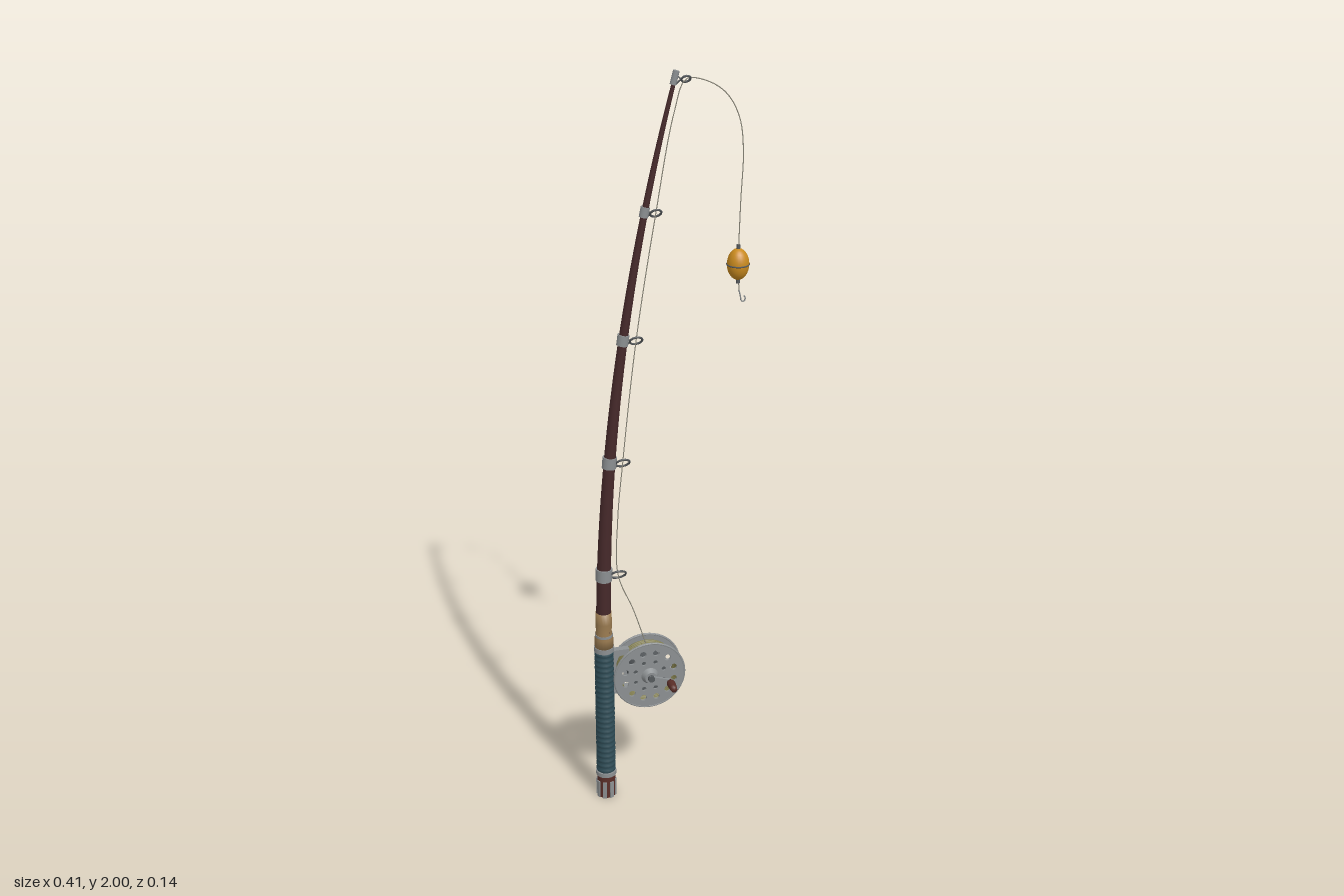
import * as THREE from 'three';

const mat = (name, color) => Object.assign(new THREE.MeshStandardMaterial({ color }), { name });

export function createModel() {
  const root = new THREE.Group();
  root.name = 'fishingRod';
  const wood = mat('dark wood', 0x46292a);
  const knobWood = mat('red wood', 0x5a2e28);
  const metal = mat('metal', 0x8c9092);
  const darkMetal = mat('dark metal', 0x55595c);
  const wrap = mat('teal wrap', 0x2f4d57);
  const cork = mat('cork', 0x98794f);
  const spoolLine = mat('olive line', 0x7f7b4b);
  const lineMat = mat('pale line', 0x8d8a7c);
  const orange = mat('orange float', 0xc98a1e);
  wrap.side = spoolLine.side = THREE.DoubleSide;

  const V = (x, y, z) => new THREE.Vector3(x, y, z);
  const RX = -0.18, RZ = -0.035;
  const add = (name, geo, material, pos = [0, 0, 0], parent = root) => {
    const m = new THREE.Mesh(geo, material);
    m.name = name;
    m.position.set(...pos);
    parent.add(m);
    return m;
  };
  const lathe = (pts, seg = 20) => new THREE.LatheGeometry(pts.map(p => new THREE.Vector2(...p)), seg);
  const cyl = (r1, r2, h, seg = 20) => new THREE.CylinderGeometry(r1, r2, h, seg);
  const tube = (pts, r, n = 24, seg = 6) =>
    new THREE.TubeGeometry(new THREE.CatmullRomCurve3(pts.map(p => V(...p))), n, r, seg);
  // Cylinder standing along z
  const disc = (name, r1, r2, z0, z1, material, x, y, parent = root) => {
    const m = add(name, cyl(r1, r2, z1 - z0), material, [x, y, (z0 + z1) / 2], parent);
    m.rotation.x = Math.PI / 2;
    return m;
  };

  // Rod blank: a tapered tube bending forward
  const rodX = y => RX + 0.2 * Math.max(0, (y - 0.5) / 1.5) ** 2;
  const rodR = y => 0.021 - 0.0162 * (y - 0.5) / 1.5;
  const path = new THREE.CatmullRomCurve3(
    Array.from({ length: 13 }, (_, i) => 0.46 + i * 1.536 / 12).map(y => V(rodX(y), y, RZ)));
  const SEG = 48, RAD = 12;
  const blank = new THREE.TubeGeometry(path, SEG, 1, RAD);
  const bp = blank.attributes.position, v = V(0, 0, 0);
  for (let i = 0; i < bp.count; i++) {
    const c = path.getPointAt(Math.floor(i / (RAD + 1)) / SEG);
    v.fromBufferAttribute(bp, i).sub(c).multiplyScalar(rodR(c.y)).add(c);
    bp.setXYZ(i, v.x, v.y, v.z);
  }
  add('rodBlank', blank, wood);

  // Butt cap with metal flutes
  add('buttCap', cyl(0.025, 0.025, 0.07), knobWood, [RX, 0.035, RZ]);
  for (let i = 0; i < 8; i++) {
    const a = (i + 0.5) * Math.PI / 4;
    const bar = add('buttFlute', new THREE.BoxGeometry(0.011, 0.05, 0.006), metal,
      [RX + 0.0245 * Math.sin(a), 0.025, RZ + 0.0245 * Math.cos(a)]);
    bar.rotation.y = a;
  }
  add('buttPlate', cyl(0.018, 0.018, 0.004), metal, [RX, 0.002, RZ]);
  for (const [y, r, h] of [[0.073, 0.028, 0.012], [0.462, 0.027, 0.014], [0.502, 0.024, 0.01]])
    add('collar', cyl(r, r, h), metal, [RX, y, RZ]);

  // Ridged wrapped grip
  const ridges = [];
  for (let i = 0; i < 24; i++) {
    const y = 0.078 + i * 0.0158;
    ridges.push([0.0225, y], [0.0262, y + 0.004], [0.0262, y + 0.011]);
  }
  ridges.push([0.0225, 0.457]);
  add('grip', lathe(ridges), wrap, [RX, 0, RZ]);

  // Cork fore grip
  add('foreGrip', lathe([[0, 0.465], [0.025, 0.465], [0.025, 0.495], [0.021, 0.515],
    [0.022, 0.54], [0.0215, 0.572], [0, 0.573]]), cork, [RX, 0, RZ]);

  // Line guides: band, tilted ring and two struts
  const ringNormal = V(0, 0.64, -0.77);
  const guide = (y, x, r, bandH) => {
    const g = new THREE.Group();
    g.name = 'lineGuide';
    root.add(g);
    const rx = rodX(y), rr = rodR(y), t = V(0.4 * (y - 0.5) / 2.25, 1, 0).normalize();
    const up = V(0, 1, 0);
    const band = add('guideBand', cyl(rr + 0.003, rr + 0.003, bandH, 14), metal, [rx, y + 0.004, RZ], g);
    band.quaternion.setFromUnitVectors(up, t);
    const ring = add('guideRing', new THREE.TorusGeometry(r, 0.0028, 6, 24), darkMetal, [x, y, RZ + 0.004], g);
    ring.quaternion.setFromUnitVectors(V(0, 0, 1), ringNormal);
    for (const s of [-1, 1])
      add('guideStrut', tube([[rx + rr * 0.8, y + s * bandH * 0.35, RZ], [(rx + rr + x - r) / 2, y + s * 0.004, RZ + 0.002],
        [x - r, y, RZ + 0.004]], 0.002, 6, 5), darkMetal, [0, 0, 0], g);
  };
  guide(0.68, -0.14, 0.021, 0.034);
  guide(1.0, -0.124, 0.018, 0.03);
  guide(1.33, -0.086, 0.016, 0.028);
  guide(1.655, -0.034, 0.014, 0.026);
  guide(1.978, 0.041, 0.011, 0.034);

  // Reel: two pierced plates
  const reel = new THREE.Group();
  reel.name = 'reel';
  root.add(reel);
  const CX = -0.064, CY = 0.38;
  const plate = new THREE.Shape().absarc(0, 0, 0.098, 0, Math.PI * 2, false);
  for (const [n, rad, r] of [[12, 0.069, 0.0088], [8, 0.042, 0.006]])
    for (let i = 0; i < n; i++) {
      const a = (i + 0.5) / n * Math.PI * 2;
      plate.holes.push(new THREE.Path().absarc(rad * Math.cos(a), rad * Math.sin(a), r, 0, Math.PI * 2, true));
    }
  const plateGeo = new THREE.ExtrudeGeometry(plate, { depth: 0.006, bevelEnabled: false, curveSegments: 20 });
  for (const z of [-0.003, -0.057]) {
    add('reelPlate', plateGeo, metal, [CX, CY, z], reel);
    add('reelRim', new THREE.TorusGeometry(0.096, 0.0035, 6, 48), metal, [CX, CY, z + 0.003], reel);
  }
  // Spool with wound line
  disc('spoolDrum', 0.052, 0.052, -0.053, -0.002, darkMetal, CX, CY, reel);
  const shell = add('woundLineCore', new THREE.CylinderGeometry(0.079, 0.079, 0.048, 40, 1, true), spoolLine, [CX, CY, -0.027], reel);
  shell.rotation.x = Math.PI / 2;
  for (let i = 0; i < 7; i++)
    add('lineCoil', new THREE.TorusGeometry(0.079, 0.0035, 6, 40), spoolLine, [CX, CY, -0.048 + i * 0.007], reel);

  // Hubs, back screws and crank
  disc('frontHub', 0.016, 0.024, 0.002, 0.016, metal, CX, CY, reel);
  disc('frontNut', 0.009, 0.009, 0.014, 0.025, darkMetal, CX, CY, reel);
  disc('backHub', 0.02, 0.02, -0.064, -0.056, metal, CX, CY, reel);
  disc('backNut', 0.011, 0.011, -0.068, -0.062, darkMetal, CX, CY, reel);
  for (let i = 0; i < 4; i++) {
    const a = i * Math.PI / 2;
    disc('backScrew', 0.005, 0.005, -0.061, -0.056, darkMetal, CX + 0.029 * Math.cos(a), CY + 0.029 * Math.sin(a), reel);
  }
  const KX = -0.013, KY = 0.364;
  const arm = add('crankArm', new THREE.BoxGeometry(0.066, 0.014, 0.008), metal,
    [(CX + KX) / 2, (CY + KY) / 2, 0.02], reel);
  arm.rotation.z = Math.atan2(KY - CY, KX - CX);
  disc('crankPin', 0.006, 0.006, 0.016, 0.03, metal, KX, KY, reel);
  const knob = add('crankKnob', lathe([[0, 0.024], [0.009, 0.024], [0.0115, 0.034], [0.01, 0.055], [0.008, 0.066], [0, 0.067]], 14),
    knobWood, [KX, KY, 0], reel);
  knob.rotation.x = Math.PI / 2;

  // Reel foot joining the grip
  add('reelSeat', new THREE.BoxGeometry(0.008, 0.13, 0.022), metal, [-0.153, 0.39, RZ], reel);
  for (const y of [0.33, 0.445])
    add('reelFoot', new THREE.BoxGeometry(0.044, 0.018, 0.018), metal, [-0.135, y, RZ], reel);

  // Line from spool, through the guides and over the tip
  const LZ = -0.031;
  add('runningLine', tube([[-0.066, 0.46, -0.027], [-0.1, 0.57, -0.028], [-0.14, 0.68, LZ], [-0.139, 0.84, LZ], [-0.124, 1, LZ],
    [-0.086, 1.33, LZ], [-0.034, 1.655, LZ], [0.012, 1.9, LZ], [0.041, 1.978, LZ], [0.09, 1.972, LZ], [0.14, 1.94, -0.03],
    [0.174, 1.88, -0.03], [0.185, 1.8, -0.029], [0.18, 1.67, -0.028], [0.176, 1.54, -0.028]], 0.0014, 120, 5), lineMat);

  // Float
  const BX = 0.176, BY = 1.508, BZ = -0.029;
  add('float', new THREE.SphereGeometry(0.028, 24, 16), orange, [BX, BY, BZ]).scale.y = 1.45;
  add('floatBand', new THREE.TorusGeometry(0.0278, 0.002, 6, 32), darkMetal, [BX, BY, BZ]).rotation.x = Math.PI / 2;
  for (const s of [-1, 1])
    add('floatCap', cyl(0.005, 0.005, 0.014, 10), darkMetal, [BX, BY + s * 0.043, BZ]);

  // Leader and hook
  add('leader', tube([[BX, 1.465, BZ], [BX + 0.003, 1.45, BZ], [BX + 0.004, 1.436, BZ]], 0.0014, 8, 5), lineMat);
  add('hook', tube([[BX + 0.003, 1.44, BZ], [BX + 0.007, 1.425, BZ], [BX + 0.01, 1.411, BZ], [BX + 0.017, 1.409, BZ],
    [BX + 0.02, 1.417, BZ], [BX + 0.016, 1.425, BZ]], 0.0018, 20, 6), metal);
  return root;
}
